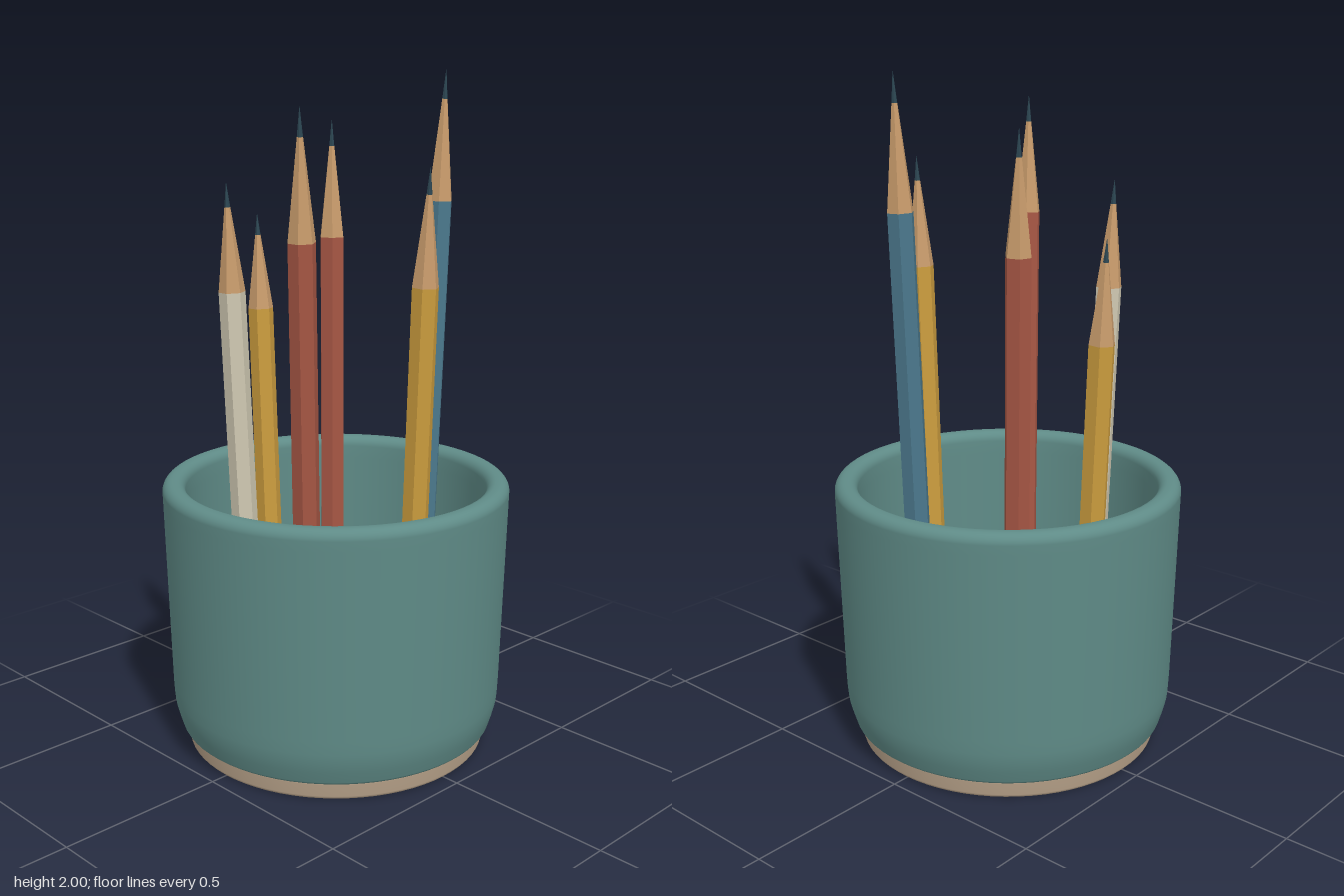
import * as THREE from 'three';

const mat = (name, color) => {
  const m = new THREE.MeshStandardMaterial({ color });
  m.name = name;
  return m;
};

export function createModel() {
  const teal = mat('teal glaze', 0x5f8b87);
  const clay = mat('bare clay', 0xb39e86);
  const red = mat('red paint', 0xa65644);
  const yellow = mat('yellow paint', 0xcb9c3e);
  const blue = mat('blue paint', 0x4b788c);
  const cream = mat('cream paint', 0xcfc8b2);
  const wood = mat('wood', 0xc99c6c);
  const lead = mat('lead', 0x2c4652);
  const flat = new Map();
  for (const m of [red, yellow, blue, cream, wood, lead]) {
    m.flatShading = true;
    flat.set(m.name, m);
  }

  const model = new THREE.Group();
  model.name = 'pencilCup';
  const add = (parent, name, geometry, material, y = 0) => {
    const mesh = new THREE.Mesh(geometry, material);
    mesh.name = name;
    mesh.position.y = y;
    parent.add(mesh);
    return mesh;
  };

  // points on an arc, angles in degrees
  const arc = (cx, cy, rx, ry, from, to, steps = 6) =>
    Array.from({ length: steps + 1 }, (_, i) => {
      const a = THREE.MathUtils.degToRad(from + ((to - from) * i) / steps);
      return new THREE.Vector2(cx + rx * Math.cos(a), cy + ry * Math.sin(a));
    });
  const v = (x, y) => new THREE.Vector2(x, y);

  // cup: underside, rounded foot, tapered wall, rolled rim, hollow inside
  const cup = [
    v(0, 0.055), v(0.44, 0.055), v(0.462, 0.055),
    ...arc(0.462, 0.07, 0.015, 0.015, -80, -20, 3),
    v(0.487, 0.1), v(0.495, 0.13), v(0.498, 0.16), v(0.5, 0.2),
    v(0.516, 0.76),
    ...arc(0.487, 0.79, 0.03, 0.03, 0, 90),
    ...arc(0.479, 0.79, 0.03, 0.03, 95, 180),
    v(0.447, 0.75), v(0.44, 0.2),
    ...arc(0.38, 0.16, 0.058, 0.06, 0, -80, 5),
    v(0.2, 0.1), v(0, 0.1),
  ];
  add(model, 'cup', new THREE.LatheGeometry(cup, 72), teal);

  // unglazed foot ring
  const foot = [
    v(0.372, 0.058), v(0.372, 0.012),
    ...arc(0.38, 0.008, 0.008, 0.008, 180, 270, 3),
    ...arc(0.443, 0.01, 0.01, 0.01, -90, 0, 3),
    v(0.455, 0.045),
    ...arc(0.447, 0.05, 0.008, 0.008, 0, 90, 3),
  ];
  add(model, 'footRing', new THREE.LatheGeometry(foot, 72), clay);

  // hexagonal pencil standing along the line from base to tip
  const R = 0.039;
  const hex = (top, bottom, h, open = false) =>
    new THREE.CylinderGeometry(top, bottom, h, 6, 1, open);
  function pencil(name, paint, base, tip, point) {
    const g = new THREE.Group();
    g.name = name;
    const from = new THREE.Vector3(...base);
    const up = new THREE.Vector3(...tip).sub(from);
    const length = up.length();
    up.normalize();
    const side = new THREE.Vector3(up.z, 0, -up.x).normalize();
    const lean = new THREE.Vector3().crossVectors(side, up);
    g.quaternion.setFromRotationMatrix(new THREE.Matrix4().makeBasis(side, up, lean));
    g.position.copy(from);

    const body = length - point;
    const leadH = point * 0.22;
    const woodH = point - leadH;
    add(g, 'endCap', hex(R + 0.002, R + 0.002, 0.08), red, 0.04);
    add(g, 'shaft', hex(R, R, body - 0.08), paint, (body + 0.08) / 2);
    add(g, 'sharpenedWood', hex(R * 0.22, R, woodH, true), wood, body + woodH / 2);
    add(g, 'leadTip', hex(0.0005, R * 0.22, leadH), lead, length - leadH / 2);
    model.add(g);
  }

  pencil('leftRedPencil', red, [-0.254, 0.1, 0.152], [-0.322, 1.91, 0.196], 0.35);
  pencil('creamPencil', cream, [-0.195, 0.1, -0.16], [-0.245, 1.69, -0.193], 0.31);
  pencil('frontYellowPencil', yellow, [0.031, 0.1, 0.27], [0.031, 1.745, 0.332], 0.325);
  pencil('backRedPencil', red, [0.109, 0.1, -0.127], [0.141, 1.855, -0.162], 0.345);
  pencil('bluePencil', blue, [0.258, 0.1, 0.1], [0.322, 2.0, 0.126], 0.375);
  pencil('backYellowPencil', yellow, [0.031, 0.1, -0.318], [0.031, 1.57, -0.378], 0.29);

  return model;
}
